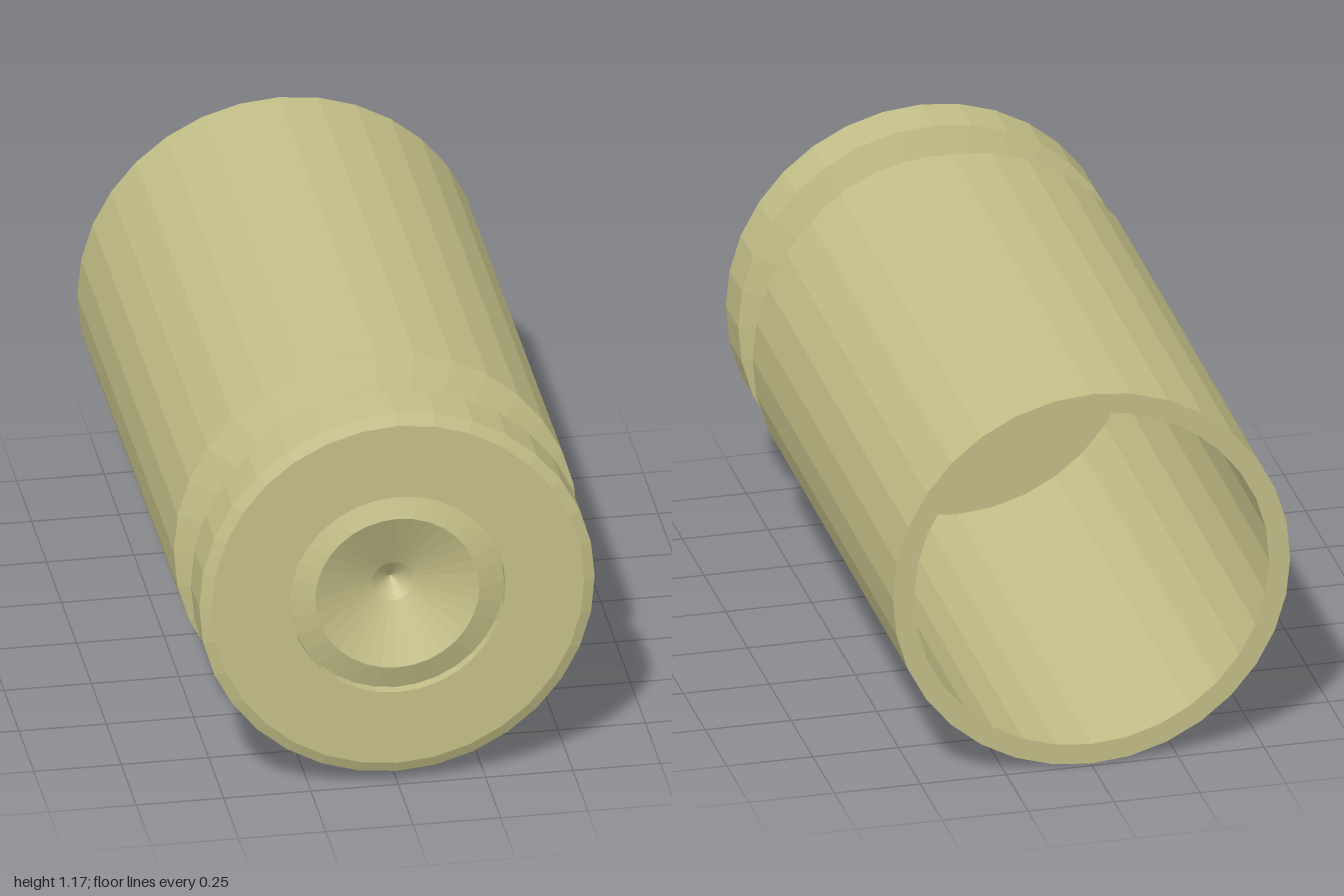
import * as THREE from 'three';

const SIDES = 32;

// Revolve [radius, z] points about the z axis, with faceted shading
function turned(name, points, material) {
  const profile = points.map(([r, z]) => new THREE.Vector2(r, z));
  const geometry = new THREE.LatheGeometry(profile, SIDES);
  geometry.rotateX(Math.PI / 2);
  const mesh = new THREE.Mesh(geometry, material);
  mesh.name = name;
  return mesh;
}

export function createModel() {
  const brass = new THREE.MeshStandardMaterial({ color: 0xc4bf88, flatShading: true });
  const casing = new THREE.Group();
  casing.name = 'casing';

  // Hollow tube open at the back: bore floor, bore wall, mouth, outer wall
  casing.add(turned('tube', [
    [0, 0.55], [0.517, 0.55], [0.517, -0.993],
    [0.578, -0.993], [0.578, 0.622], [0.483, 0.66],
  ], brass));

  // Extractor groove, then rim with bevelled edge and primer pocket
  casing.add(turned('groove', [[0.483, 0.66], [0.483, 0.812]], brass));
  casing.add(turned('rim', [
    [0.483, 0.812], [0.566, 0.836], [0.566, 0.978],
    [0.533, 0.993], [0.309, 0.993], [0.309, 0.96],
  ], brass));

  // Primer cap: sloped shoulder around a dented cone
  casing.add(turned('primer', [
    [0.309, 0.96], [0.235, 0.985], [0.06, 0.91], [0, 0.87],
  ], brass));

  // The casing rests on the ground with its rim end slightly raised
  casing.rotation.x = -0.0115;
  casing.position.y = 0.589;

  const model = new THREE.Group();
  model.name = 'emptyCasing';
  model.add(casing);
  return model;
}
